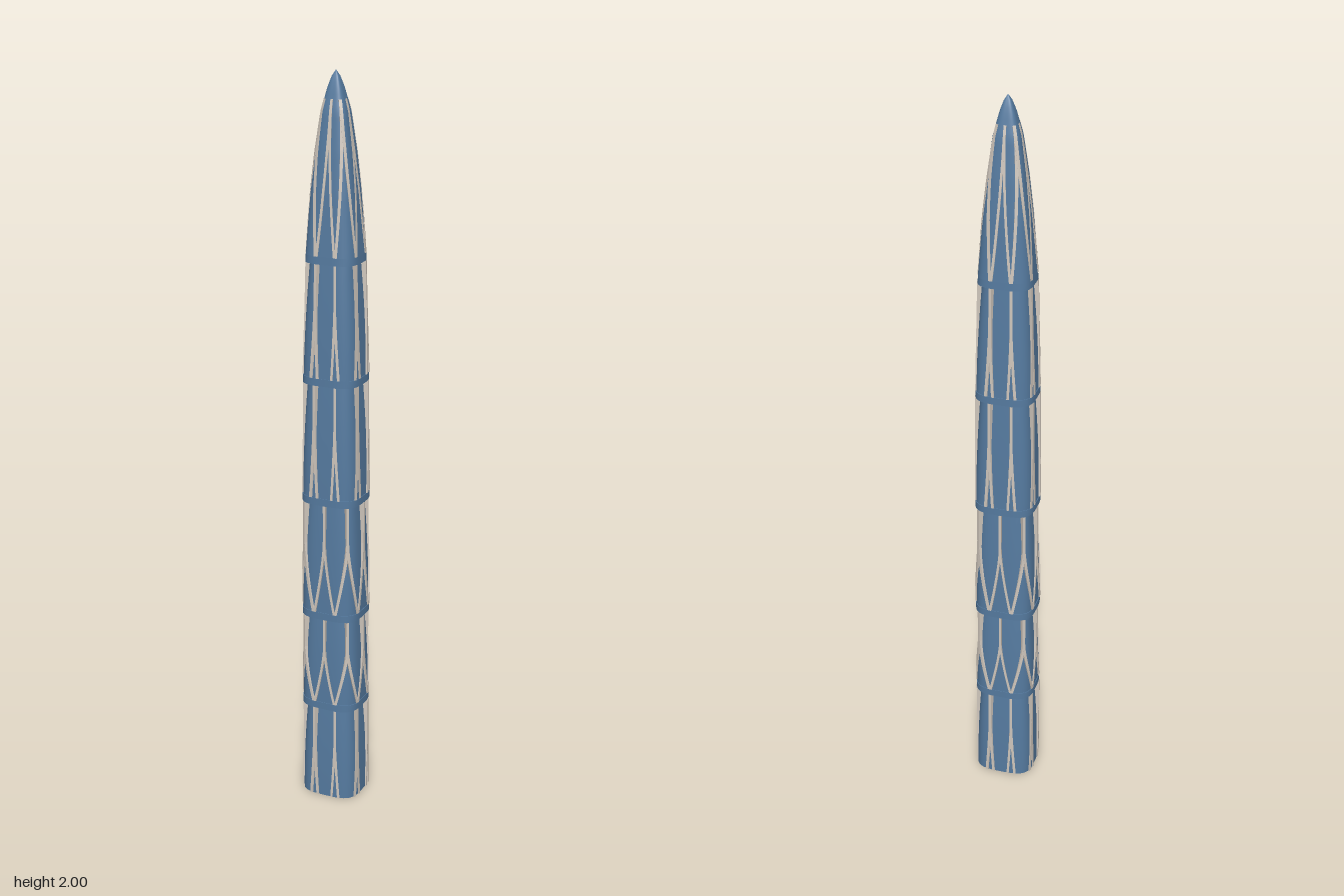
import * as THREE from 'three';

// storey-group boundaries and the overall taper (height, scale)
const LEVELS = [0, 0.28, 0.55, 0.88, 1.21, 1.53, 2];
const TAPER = [[0, 1], [0.55, 1], [0.88, 0.985], [1.21, 0.95], [1.53, 0.86], [1.7, 0.71],
  [1.8, 0.585], [1.9, 0.42], [1.96, 0.23], [1.985, 0.12], [2, 0.004]];
const TWIST = 0.26; // plan is turned on the site
const SIDES = 64;
const LIP = 0.01; // half height of the lip between sections
const STAGGER = [0.5, 0, 0, 0.5, 0.5, 0]; // rib offset in each section
const RIB = 0.0035; // half width of a rib

function taper(y) {
  let i = 0;
  while (i < TAPER.length - 2 && y > TAPER[i + 1][0]) i++;
  const [y0, s0] = TAPER[i], [y1, s1] = TAPER[i + 1];
  return s0 + (s1 - s0) * (y - y0) / (y1 - y0);
}

// point on the rounded-square plan; dip sets the glass back from the envelope
function planPoint(angle, y, dip, lift = 0) {
  const c = Math.abs(Math.cos(angle) / 0.083), s = Math.abs(Math.sin(angle) / 0.0755), n = 3.5;
  const r = Math.pow(Math.pow(c, n) + Math.pow(s, n), -1 / n) * taper(y) * (1 - dip) + lift;
  return [r * Math.cos(angle + TWIST), y, r * Math.sin(angle + TWIST)];
}

// grid of points joined into faces; rows of equal length, optionally closed
function loft(rows, closed) {
  const n = rows[0].length, index = [];
  for (let j = 0; j < rows.length - 1; j++) {
    for (let i = 0; i < (closed ? n : n - 1); i++) {
      const a = j * n + i, b = j * n + (i + 1) % n;
      index.push(a, a + n, b, b, a + n, b + n);
    }
  }
  const g = new THREE.BufferGeometry();
  g.setAttribute('position', new THREE.Float32BufferAttribute(rows.flat(2), 3));
  g.setIndex(index);
  return g;
}

// smooth skin through a list of [height, dip] rings
function skin(rings) {
  const g = loft(rings.map(([y, dip]) => Array.from({ length: SIDES },
    (_, i) => planPoint(i / SIDES * Math.PI * 2, y, dip))), true);
  g.computeVertexNormals();
  return g;
}

// flat-sided fin standing on the glass; path holds [angle, height, dip]
function fin(path) {
  const g = loft(path.map(([angle, y, dip]) => {
    const w = RIB / (0.085 * taper(y));
    return [planPoint(angle - w, y, dip, -0.001), planPoint(angle - w, y, 0, 0.0015),
      planPoint(angle + w, y, 0, 0.0015), planPoint(angle + w, y, dip, -0.001)];
  }), false).toNonIndexed();
  g.computeVertexNormals();
  return g;
}

export function createModel() {
  const glass = new THREE.MeshStandardMaterial({ color: 0x557a9f, side: THREE.DoubleSide });
  glass.name = 'blue glass';
  const metal = new THREE.MeshStandardMaterial({ color: 0xcfc6bc, side: THREE.DoubleSide });
  metal.name = 'pale metal';

  const tower = new THREE.Group();
  tower.name = 'tower';
  const add = (geometry, material, name) => {
    const mesh = new THREE.Mesh(geometry, material);
    mesh.name = name;
    tower.add(mesh);
  };

  for (let k = 0; k < 6; k++) {
    const crown = k === 5;
    const y0 = LEVELS[k] + (k ? LIP : 0);
    const y1 = LEVELS[k + 1] - (crown ? 0 : LIP);
    const yAt = t => y0 + (y1 - y0) * t;
    const dipAt = t => crown ? 0 : 0.02 + 0.13 * t * t;

    // glazed section, leaning in towards the top
    const steps = crown ? 32 : 12;
    const rings = Array.from({ length: steps + 1 }, (_, j) => [yAt(j / steps), dipAt(j / steps)]);
    add(skin(rings), glass, crown ? 'crown' : 'glassSection');

    // overhanging ledge and lip of the next section
    if (!crown) {
      add(skin([[y1, dipAt(1)], [y1, 0]]), glass, 'ledgeUnderside');
      add(skin([[y1, 0], [y1 + 2 * LIP, 0]]), glass, 'ledgeLip');
      add(skin([[y1 + 2 * LIP, 0], [y1 + 2 * LIP, 0.02]]), glass, 'ledgeTop');
    }

    // ribs run down from the top and split in two, meeting their neighbours
    const spread = STAGGER[k] ? 0.12 : 0.37;
    const reach = crown ? 0.85 : 1;
    const split = crown ? 0.85 : 0.65;
    for (let i = 0; i < 8; i++) {
      const base = (i + STAGGER[k]) / 8 * Math.PI * 2;
      for (const side of [-1, 1]) {
        add(fin(Array.from({ length: 17 }, (_, j) => {
          const t = j / 16 * reach;
          const bend = spread * Math.pow(Math.max(0, 1 - t / split), 1.3);
          return [base + side * bend, yAt(t), dipAt(t)];
        })), metal, 'rib');
      }
    }
  }
  return tower;
}
